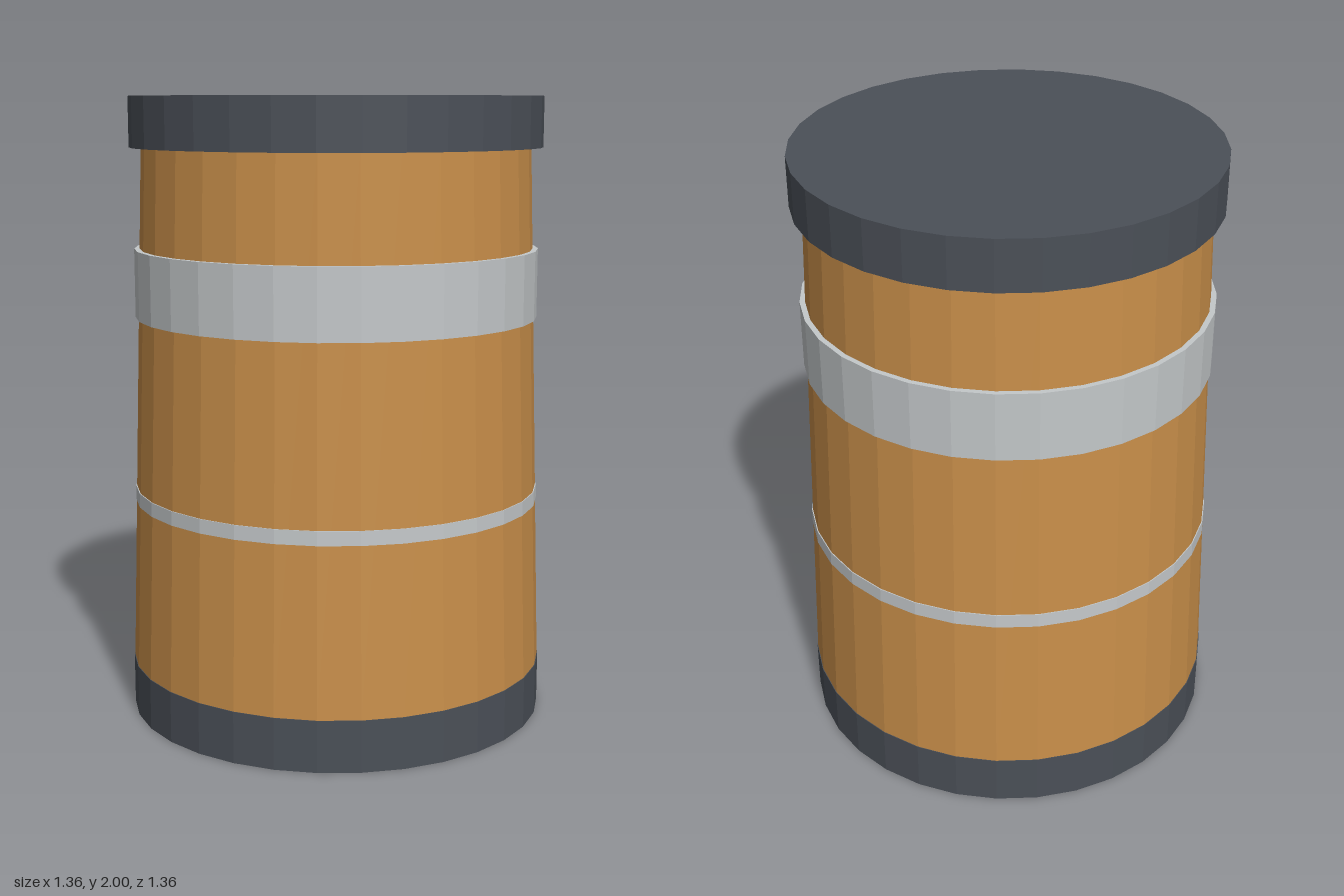
import * as THREE from 'three';

const SIDES = 32;

export function createModel() {
  const model = new THREE.Group();
  model.name = 'canister';

  const material = (name, color) => {
    const m = new THREE.MeshStandardMaterial({ color, flatShading: true });
    m.name = name;
    return m;
  };
  const amber = material('amber', 0xc98f4a);
  const silver = material('silver', 0xc4c8ca);
  const slate = material('slate', 0x4b5058);

  // Adds a closed, faceted drum between two heights
  const drum = (name, y0, y1, rBottom, rTop, mat) => {
    const geometry = new THREE.CylinderGeometry(rTop, rBottom, y1 - y0, SIDES);
    const mesh = new THREE.Mesh(geometry, mat);
    mesh.name = name;
    mesh.position.y = (y0 + y1) / 2;
    model.add(mesh);
  };

  // Tapered body
  drum('body', 0.16, 1.85, 0.677, 0.622, amber);

  // Base and lid
  drum('base', 0, 0.165, 0.679, 0.679, slate);
  drum('lid', 1.84, 2, 0.66, 0.66, slate);

  // Wide raised band and thin stripe hugging the taper
  drum('wideBand', 1.3, 1.52, 0.65, 0.65, silver);
  drum('thinStripe', 0.7, 0.745, 0.662, 0.661, silver);

  return model;
}
